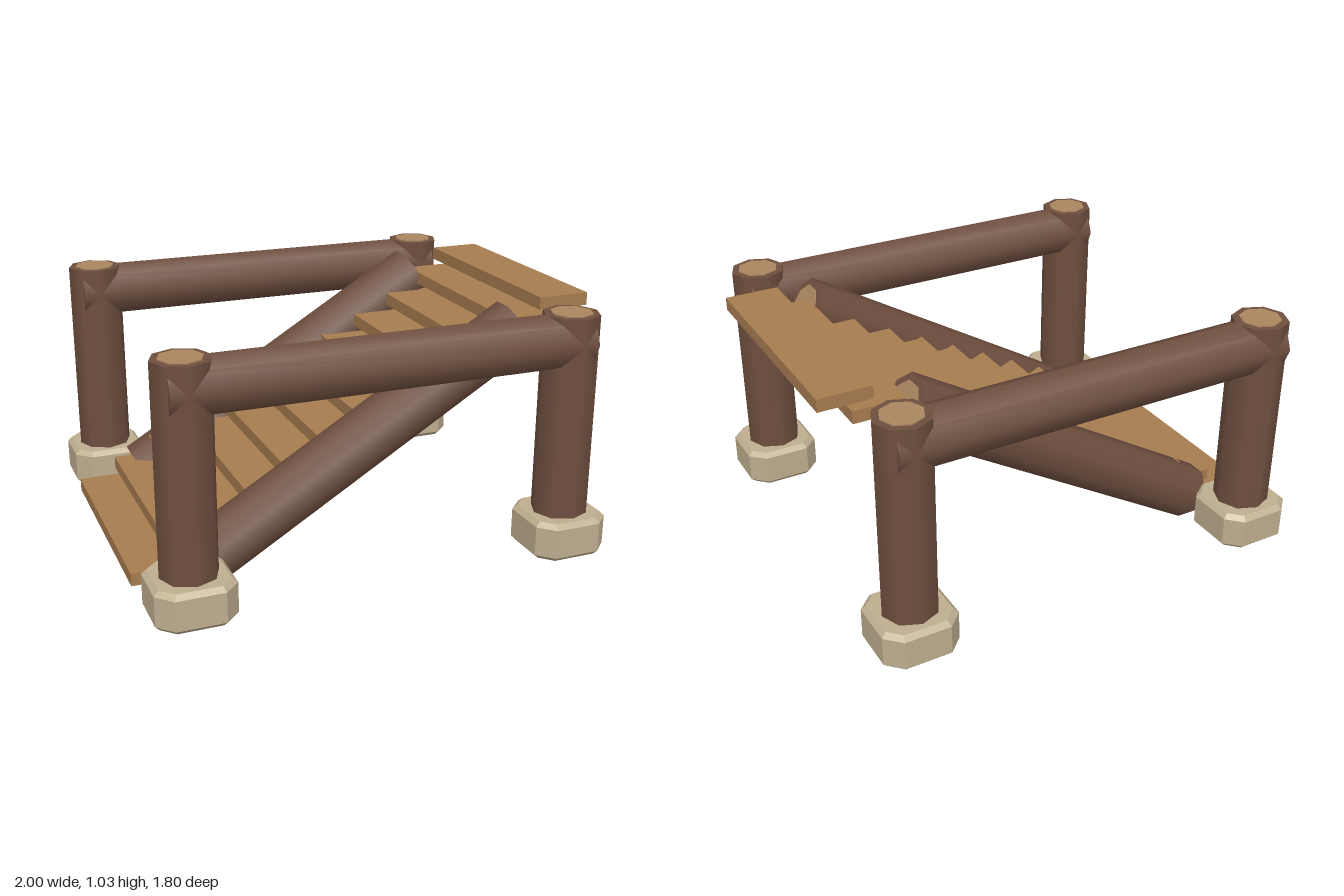
import * as THREE from 'three';

const paint = (color, flatShading = false) => new THREE.MeshStandardMaterial({ color, flatShading });
const UP = new THREE.Vector3(0, 1, 0);

export function createModel() {
  const model = new THREE.Group();
  const bark = paint(0x6f4f3f);
  const cutWood = paint(0xab8660, true);
  const plankWood = paint(0xa67c50, true);
  const stone = paint(0xbfae90, true);

  // Eight-sided log between two points, with a paler disc on each end
  function log(name, from, to, radius, phase = 0) {
    const group = new THREE.Group();
    group.name = name;
    const axis = new THREE.Vector3().subVectors(to, from);
    const length = axis.length();
    const trunk = new THREE.Mesh(new THREE.CylinderGeometry(radius, radius, length, 8, 1, false, phase), bark);
    trunk.name = name + 'Trunk';
    const disc = new THREE.Mesh(
      new THREE.CylinderGeometry(radius * 0.74, radius * 0.74, length + 0.01, 8, 1, false, phase), cutWood);
    disc.name = name + 'CutEnds';
    group.add(trunk, disc);
    group.position.addVectors(from, to).multiplyScalar(0.5);
    group.quaternion.setFromUnitVectors(UP, axis.normalize());
    model.add(group);
  }

  // Bevelled footing stone with cut corners
  const bevel = 0.02, h = 0.162 - bevel, c = 0.052;
  const outline = new THREE.Shape([
    [h, h - c], [h - c, h], [c - h, h], [-h, h - c],
    [-h, c - h], [c - h, -h], [h - c, -h], [h, c - h],
  ].map(([x, y]) => new THREE.Vector2(x, y)));
  const footingGeometry = new THREE.ExtrudeGeometry(outline, {
    depth: 0.165 - 2 * bevel, bevelThickness: bevel, bevelSize: bevel, bevelSegments: 1,
  });
  footingGeometry.rotateX(-Math.PI / 2);

  for (const side of [1, -1]) {
    const z = 0.738 * side;
    // Posts and footings
    for (const x of [-0.828, 0.775]) {
      log('post', new THREE.Vector3(x, 0.03, z), new THREE.Vector3(x, 1.03, z), 0.117);
      const footing = new THREE.Mesh(footingGeometry, stone);
      footing.name = 'footing';
      footing.position.set(x, 0.015 + bevel, z);
      model.add(footing);
    }
    // Handrail
    const rail = new THREE.Mesh(new THREE.CylinderGeometry(0.117, 0.117, 1.74, 8), bark);
    rail.name = 'handrail';
    rail.rotation.z = Math.PI / 2;
    rail.position.set(-0.03, 0.918, z);
    model.add(rail);
    // Sloping stair beam
    log('stairBeam', new THREE.Vector3(-0.71, 0.105, 0.5 * side),
      new THREE.Vector3(0.655, 0.925, 0.5 * side), 0.122, Math.PI / 8);
  }

  // Treads
  for (let i = 0; i < 12; i++) {
    const tread = new THREE.Mesh(new THREE.BoxGeometry(0.225, 0.054, 1), plankWood);
    tread.name = 'tread';
    const left = Math.min(-1 + 0.164 * i, 0.775);
    tread.position.set(left + 0.1125, 0.066 + 0.0854 * i, 0);
    model.add(tread);
  }
  return model;
}
